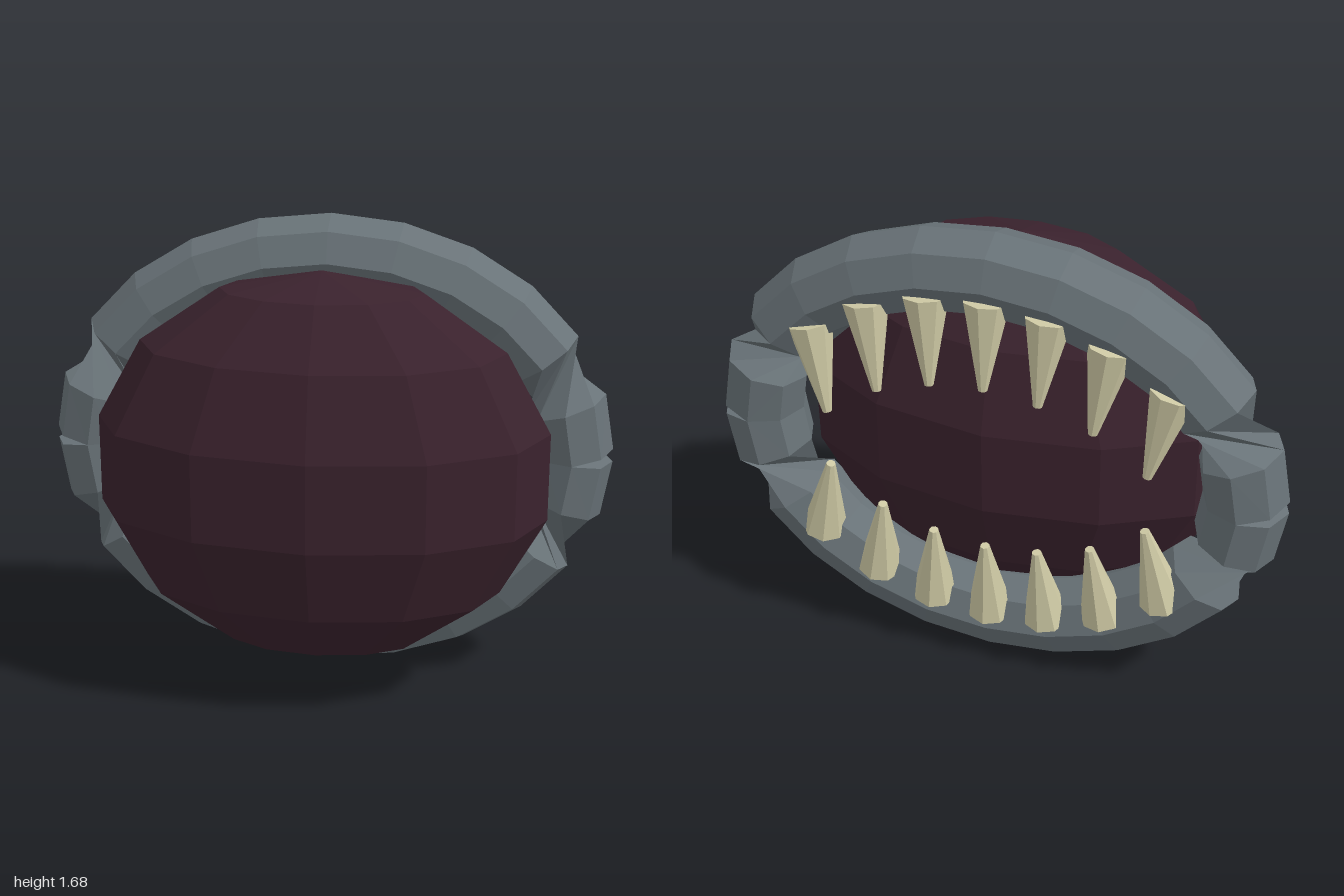
import * as THREE from 'three';

const CENTER_Y = 0.84;             // height of the mouth's middle
const RX = 0.86, RY = 0.695;       // centre line of the lips
const LIP_Z = -0.257, LIP_R = 0.145;
const STEPS = 12, SIDES = 8;

const flat = (color) => new THREE.MeshStandardMaterial({ color, flatShading: true });

// Half-ellipse tube with a quarter twist near each corner of the mouth
function lipGeometry() {
  const centre = (i) => {
    const t = (Math.PI * i) / STEPS;
    return new THREE.Vector2(RX * Math.cos(t), RY * Math.sin(t));
  };
  const pos = [], index = [];
  for (let i = 0; i <= STEPS; i++) {
    const c = centre(i);
    const dir = centre(Math.min(i + 1, STEPS)).sub(centre(Math.max(i - 1, 0))).normalize();
    const twist = i < 2 || i > STEPS - 2 ? Math.PI / 2 : 0;
    for (let j = 0; j < SIDES; j++) {
      const a = (j / SIDES) * Math.PI * 2 + twist;
      const r = LIP_R * Math.cos(a);
      pos.push(c.x + dir.y * r, c.y - dir.x * r, LIP_R * Math.sin(a));
    }
  }
  for (let i = 0; i < STEPS; i++) {
    for (let j = 0; j < SIDES; j++) {
      const k = (j + 1) % SIDES;
      const a = i * SIDES + j, b = a + SIDES, d = i * SIDES + k, c = d + SIDES;
      if (i < STEPS / 2) index.push(a, b, d, b, c, d);
      else index.push(a, b, c, a, c, d);
    }
  }
  // End caps
  const last = STEPS * SIDES;
  for (let j = 1; j < SIDES - 1; j++) {
    index.push(0, j, j + 1);
    index.push(last, last + j + 1, last + j);
  }
  const geo = new THREE.BufferGeometry();
  geo.setAttribute('position', new THREE.Float32BufferAttribute(pos, 3));
  geo.setIndex(index);
  geo.computeVertexNormals();
  return geo;
}

// Blunt cone leaning from its root to its tip
function tooth(root, tip, material) {
  const dir = tip.clone().sub(root);
  const mesh = new THREE.Mesh(new THREE.CylinderGeometry(0.016, 0.08, dir.length(), 8), material);
  mesh.position.copy(root).add(tip).multiplyScalar(0.5);
  mesh.quaternion.setFromUnitVectors(new THREE.Vector3(0, 1, 0), dir.normalize());
  mesh.name = 'tooth';
  return mesh;
}

export function createModel() {
  const model = new THREE.Group();
  model.name = 'toothedMouth';
  const lipMat = flat(0x697378);
  const toothMat = flat(0xcfcaa5);

  // Dark faceted body filling the mouth
  const body = new THREE.Mesh(new THREE.SphereGeometry(1, 12, 7), flat(0x3a222d));
  body.name = 'mouthInterior';
  body.scale.set(0.805, 0.703, 0.426);
  body.position.y = CENTER_Y;
  model.add(body);

  // Each jaw is a lip with its row of teeth; the lower one is turned over
  const lipGeo = lipGeometry();
  for (const [name, turn] of [['upperJaw', 0], ['lowerJaw', Math.PI]]) {
    const jaw = new THREE.Group();
    jaw.name = name;
    jaw.position.set(0, CENTER_Y, LIP_Z);
    jaw.rotation.z = turn;

    const lip = new THREE.Mesh(lipGeo, lipMat);
    lip.name = 'lip';
    jaw.add(lip);

    for (let i = -3; i <= 3; i++) {
      const x = i * 0.207;
      const y = RY * Math.sqrt(1 - (x / RX) ** 2) - 0.05;
      jaw.add(tooth(
        new THREE.Vector3(x, y, -0.09),
        new THREE.Vector3(x * 0.9, y - 0.32, -0.135),
        toothMat
      ));
    }
    model.add(jaw);
  }
  return model;
}
